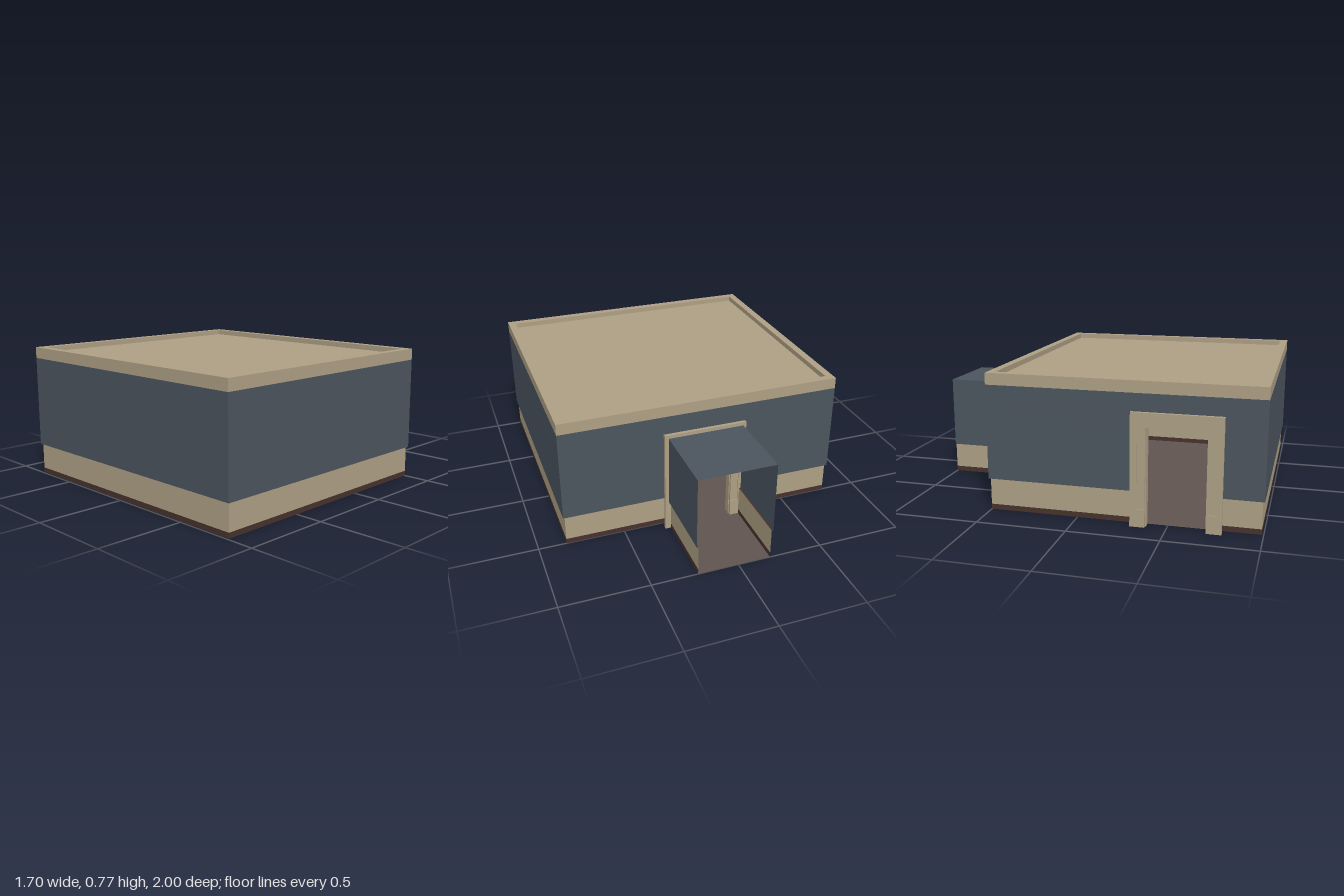
import * as THREE from 'three';

const material = (name, color, side = THREE.DoubleSide) => {
  const m = new THREE.MeshStandardMaterial({ color, side });
  m.name = name;
  return m;
};

export function createModel() {
  const root = new THREE.Group();
  root.name = 'room';
  const tan = material('tan trim', 0xad9f84);
  const blue = material('slate wall', 0x4b545e);
  const brown = material('dark brown base', 0x47312c);
  const floorMat = material('brown floor', 0x5f5450);

  const add = (parent, name, geometry, mat) => {
    const mesh = new THREE.Mesh(geometry, mat);
    mesh.name = name;
    parent.add(mesh);
    return mesh;
  };

  // Upright thin sheet between two floor points [x, z]
  function sheet(parent, name, mat, a, b, y0, y1) {
    const dx = b[0] - a[0], dz = b[1] - a[1];
    const m = add(parent, name, new THREE.PlaneGeometry(Math.hypot(dx, dz), y1 - y0), mat);
    m.position.set((a[0] + b[0]) / 2, (y0 + y1) / 2, (a[1] + b[1]) / 2);
    m.rotation.y = -Math.atan2(dz, dx);
  }

  // Flat sheet covering x0..x1, z0..z1
  function slab(name, mat, x0, x1, z0, z1, y) {
    const m = add(root, name, new THREE.PlaneGeometry(x1 - x0, z1 - z0), mat);
    m.rotation.x = -Math.PI / 2;
    m.position.set((x0 + x1) / 2, y, (z0 + z1) / 2);
  }

  // Rectangular ring lying flat, extruded upward
  function ring(name, mat, x0, x1, z0, z1, width, y0, y1) {
    const rect = (C, i) => new C([[x0 + i, z0 + i], [x1 - i, z0 + i], [x1 - i, z1 - i], [x0 + i, z1 - i]]
      .map(([x, z]) => new THREE.Vector2(x, -z)));
    const shape = rect(THREE.Shape, 0);
    shape.holes.push(rect(THREE.Path, width));
    const g = new THREE.ExtrudeGeometry(shape, { depth: y1 - y0, bevelEnabled: false });
    g.rotateX(-Math.PI / 2);
    add(root, name, g, mat).position.y = y0;
  }

  // Wall with baseboard, wainscot and painted upper; the lower bands stand inside by inset
  const inset = 0.01;
  function wall(name, a, b, inward, top, door) {
    const g = new THREE.Group();
    g.name = name;
    root.add(g);
    const length = Math.hypot(b[0] - a[0], b[1] - a[1]);
    const at = (s, off) => [0, 1].map(i => a[i] + (b[i] - a[i]) * s / length + inward[i] * off);
    const bands = [['baseboard', brown, 0, 0.03, inset], ['wainscot', tan, 0.03, 0.18, inset], ['upperWall', blue, 0.18, top, 0]];
    for (const [part, mat, y0, y1, off] of bands) {
      const end = door ? off : (top > 0.65 ? off : 0);
      const spans = door ? [[end, door[0]], [door[1], length - end]] : [[end, length - end]];
      for (const [s0, s1] of spans) sheet(g, part, mat, at(s0, off), at(s1, off), y0, Math.min(y1, door ? 0.55 : y1));
    }
    if (door) sheet(g, 'wallAboveDoor', blue, at(0, 0), at(length, 0), 0.55, top);
  }

  // Main room
  const X0 = -0.8, X1 = 0.85, Z0 = -0.51, Z1 = 1;
  const doorX = 0.025, doorZ = 0.5475, half = 0.165;
  wall('frontWall', [X0, Z1], [X1, Z1], [0, -1], 0.71);
  wall('leftWall', [X1, Z0], [X1, Z1], [-1, 0], 0.71);
  wall('rightWall', [X0, Z0], [X0, Z1], [1, 0], 0.71, [doorZ - half - Z0, doorZ + half - Z0]);
  wall('backWall', [X0, Z0], [X1, Z0], [0, 1], 0.71, [doorX - half - X0, doorX + half - X0]);
  slab('roomFloor', floorMat, X0 + inset, X1 - inset, Z0 + inset, Z1 - inset, 0.001);
  ring('crownMoulding', tan, X0, X1, Z0, Z1, 0.045, 0.71, 0.775);
  slab('ceiling', tan, X0 + 0.04, X1 - 0.04, Z0 + 0.04, Z1 - 0.04, 0.745);

  // Narrow ledge where the wainscot meets the wall, left open at the doorways
  const ledge = (x0, x1, z0, z1) => slab('wainscotLedge', brown, x0, x1, z0, z1, 0.18);
  ledge(X0, X1, Z1 - inset, Z1);
  ledge(X1 - inset, X1, Z0, Z1);
  ledge(X0, X0 + inset, Z0, doorZ - half);
  ledge(X0, X0 + inset, doorZ + half, Z1);
  ledge(X0, doorX - half, Z0, Z0 + inset);
  ledge(doorX + half, X1, Z0, Z0 + inset);

  // Open-ended passage at the back
  const H0 = -0.2, H1 = 0.245;
  wall('passageRightWall', [H0, -1], [H0, Z0], [1, 0], 0.6);
  wall('passageLeftWall', [H1, -1], [H1, Z0], [-1, 0], 0.6);
  ledge(H0, H0 + inset, -1, Z0);
  ledge(H1 - inset, H1, -1, Z0);
  slab('passageFloor', floorMat, H0 + inset, H1 - inset, -1, Z0 + inset, 0.001);
  slab('passageCeiling', blue, H0, H1, -1, Z0, 0.6);
  const lamp = add(root, 'ceilingLampRing', new THREE.TorusGeometry(0.022, 0.007, 8, 20), tan);
  lamp.rotation.x = Math.PI / 2;
  lamp.position.set(0.0225, 0.592, -0.765);

  // Door frame: U-shaped arches standing on the floor, facing local +z
  function arch(parent, name, outer, top, width, z0, z1) {
    const o = outer, i = outer - width, t = top - width;
    const shape = new THREE.Shape([[-o, 0], [-i, 0], [-i, t], [i, t], [i, 0], [o, 0], [o, top], [-o, top]]
      .map(([x, y]) => new THREE.Vector2(x, y)));
    add(parent, name, new THREE.ExtrudeGeometry(shape, { depth: z1 - z0, bevelEnabled: false }), tan).position.z = z0;
  }
  function doorFrame(name, x, z, turn) {
    const g = new THREE.Group();
    g.name = name;
    arch(g, 'doorLining', 0.1725, 0.558, 0.015, -0.012, 0.031);
    arch(g, 'doorCasing', 0.2425, 0.62, 0.08, 0.03, 0.044);
    arch(g, 'casingBead', 0.2425, 0.62, 0.035, 0.043, 0.05);
    for (const s of [-1, 1]) {
      const foot = add(g, 'casingFoot', new THREE.BoxGeometry(0.08, 0.1, 0.022), tan);
      foot.position.set(s * 0.202, 0.05, 0.039);
    }
    g.position.set(x, 0, z);
    g.rotation.y = turn;
    root.add(g);
  }
  doorFrame('sideDoorFrame', X0, doorZ, -Math.PI / 2);
  doorFrame('backDoorFrame', doorX, Z0, Math.PI);

  return root;
}
